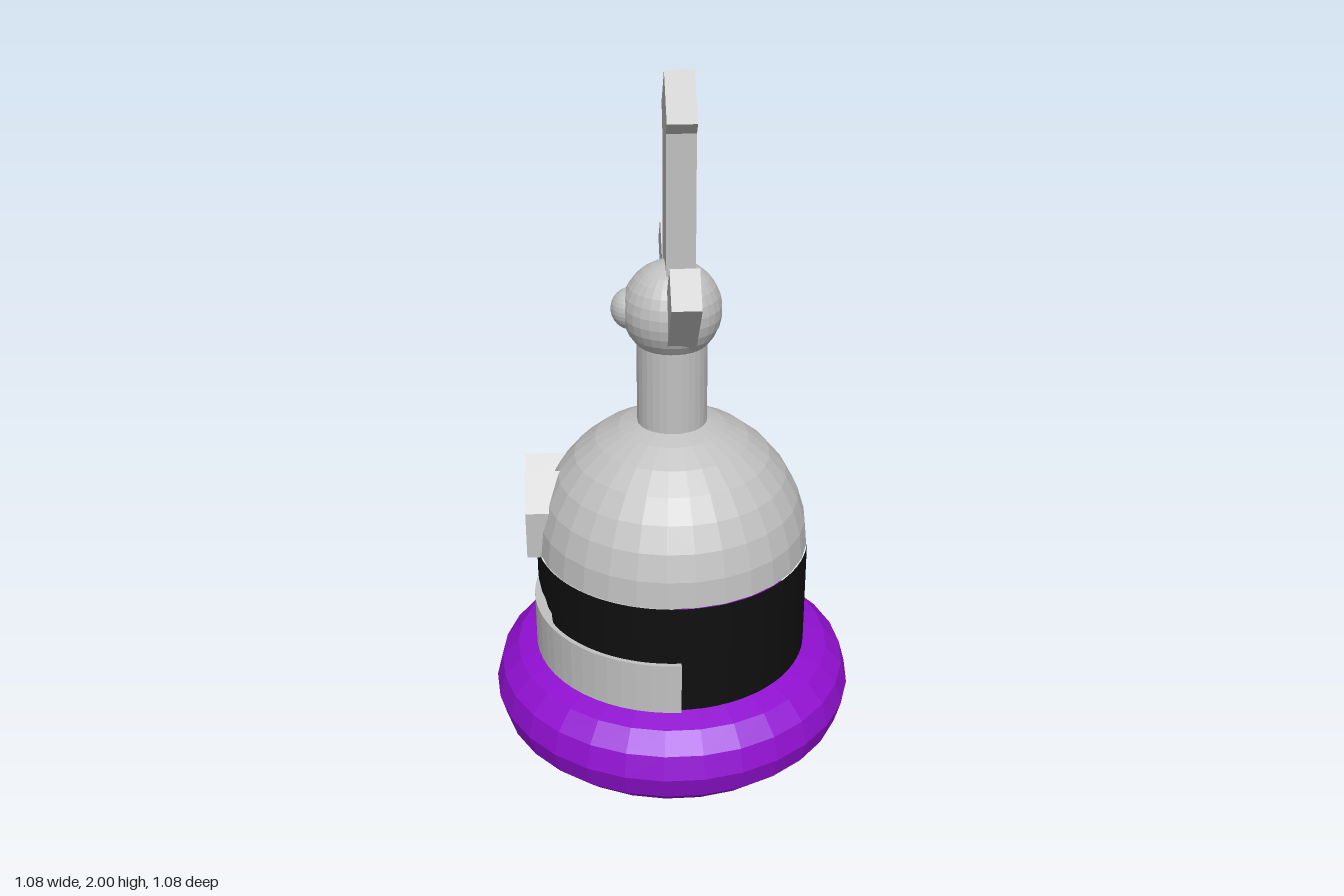
import * as THREE from 'three';

export function createModel() {
  const model = new THREE.Group();
  const paint = (name, color) => {
    const m = new THREE.MeshStandardMaterial({ color, flatShading: true });
    m.name = name;
    return m;
  };
  const grey = paint('grey', 0xc0c0c0);
  const black = paint('black', 0x0f0f0f);
  const purple = paint('purple', 0x9010d0);

  const add = (name, geometry, material, x = 0, y = 0, z = 0) => {
    const mesh = new THREE.Mesh(geometry, material);
    mesh.name = name;
    mesh.position.set(x, y, z);
    model.add(mesh);
    return mesh;
  };

  // Outline given as [z, y] pairs, extruded along x from x0 to x1
  const slab = (name, outline, x0, x1) => {
    const shape = new THREE.Shape(outline.map(([z, y]) => new THREE.Vector2(-z, y)));
    const g = new THREE.ExtrudeGeometry(shape, { depth: x1 - x0, bevelEnabled: false });
    g.rotateY(Math.PI / 2);
    return add(name, g, grey, x0);
  };

  // Ring base
  add('baseRing', new THREE.TorusGeometry(0.402, 0.14, 12, 30).rotateX(Math.PI / 2), purple, 0, 0.14);

  // Black drum with a shallow scoop in its -x side
  const profile = [[0, 0.03], [0.402, 0.03], [0.402, 0.42]].map(p => new THREE.Vector2(...p));
  for (let i = 0; i <= 10; i++) profile.push(new THREE.Vector2(0.402, 0.43 + i * 0.01));
  profile.push(new THREE.Vector2(0.402, 0.62));
  const drum = new THREE.LatheGeometry(profile, 90);
  const p = drum.attributes.position;
  for (let i = 0; i < p.count; i++) {
    const x = p.getX(i), y = p.getY(i), z = p.getZ(i);
    if (x > 0 || y < 0.425) continue;
    const d = 0.1764 - z * z - 12.4 * Math.max(0, y - 0.44) ** 2;
    if (d > 0) p.setX(i, Math.max(x, -0.74 + Math.sqrt(d)));
  }
  drum.computeVertexNormals();
  add('drum', drum, black);

  // Half-round ledge wrapped around the -x side
  const half = new THREE.Shape();
  half.absarc(0, 0, 0.415, Math.PI / 2, Math.PI * 1.5, false);
  half.closePath();
  const ledge = new THREE.ExtrudeGeometry(half, { depth: 0.16, bevelEnabled: false, curveSegments: 15 });
  add('ledge', ledge.rotateX(-Math.PI / 2), grey, 0, 0.28);

  // Dome, neck and ball
  add('dome', new THREE.SphereGeometry(0.4, 30, 8, 0, Math.PI * 2, 0, Math.PI / 2), grey, 0, 0.62);
  add('neck', new THREE.CylinderGeometry(0.1, 0.1, 0.28, 30), grey, 0, 1.12);
  add('ball', new THREE.SphereGeometry(0.14, 30, 15), grey, 0, 1.345);
  add('ballKnob', new THREE.SphereGeometry(0.06, 30, 15), grey, -0.11, 1.345, -0.01);

  // Twin-peaked block on the dome
  slab('peakedBlock', [
    [-0.19, 0.615], [-0.19, 0.765], [-0.107, 0.85], [-0.05, 0.793],
    [0.006, 0.85], [0.096, 0.76], [0.096, 0.615],
  ], -0.428, -0.3);

  // Upright blade with arrow tip
  const c = -0.012;
  slab('uprightBlade', [
    [c + 0.08, 1.38], [c + 0.08, 1.854], [c + 0.113, 1.887], [c, 2],
    [c - 0.113, 1.887], [c - 0.08, 1.854], [c - 0.08, 1.38],
  ], -0.02, 0.06);

  // Two blades splayed at 45 degrees
  for (const [name, s] of [['frontBlade', 1], ['backBlade', -1]]) {
    const outline = [[0.105, 1.26], [0.29, 1.45], [0.205, 1.535], [0.02, 1.345]]
      .map(([z, y]) => [s * z - 0.005, y]);
    slab(name, outline, -0.02, 0.06);
  }

  return model;
}
